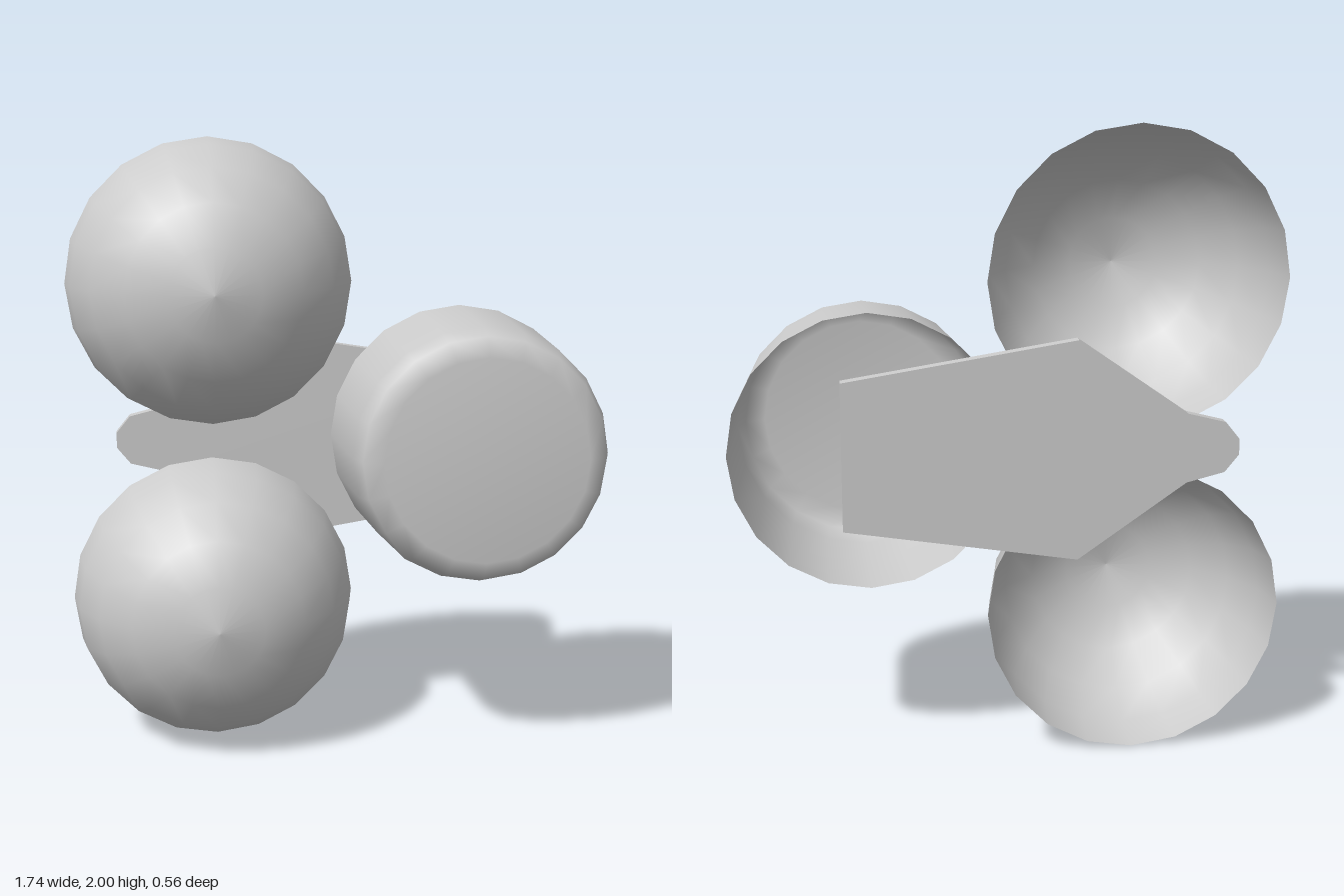
import * as THREE from 'three';

const SIDES = 20;
const BACK = -0.235; // plane of the open rims

export function createModel() {
  const group = new THREE.Group();
  const shellMaterial = new THREE.MeshStandardMaterial({ color: 0xcccccc, side: THREE.DoubleSide });
  const plateMaterial = new THREE.MeshStandardMaterial({ color: 0xcccccc, flatShading: true });

  // Open shell turned about z: profile is [radius, depth in front of the rim]
  function addShell(name, profile, x, y) {
    const points = profile.map(([r, d]) => new THREE.Vector2(r, d));
    const geometry = new THREE.LatheGeometry(points, SIDES).rotateX(Math.PI / 2);
    const mesh = new THREE.Mesh(geometry, shellMaterial);
    mesh.name = name;
    mesh.position.set(x, y, BACK);
    group.add(mesh);
  }

  // Two hollow half-sphere domes
  const dome = [];
  for (let i = 0; i <= 5; i++) {
    const a = (i / 5) * Math.PI / 2;
    dome.push([0.47 * Math.cos(a), 0.47 * Math.sin(a)]);
  }
  dome[5][0] = 0;
  addShell('upperDome', dome, -0.4, 1.53);
  addShell('lowerDome', dome, -0.4, 0.473);

  // Hollow cup, slightly tapered, with a rounded front edge
  addShell('cup', [[0.433, 0], [0.41, 0.405], [0.387, 0.478], [0.325, 0.515], [0, 0.515]], 0.434, 1.012);

  // Back plate: upper half of the outline, mirrored for the lower half
  const half = [[0.52, 0.232], [-0.207, 0.348], [-0.55, 0.11], [-0.67, 0.08], [-0.715, 0.025]];
  const outline = [...half, ...half.map(([x, y]) => [x, -y]).reverse()];
  const shape = new THREE.Shape(outline.map(([x, y]) => new THREE.Vector2(x, y)));
  const plate = new THREE.Mesh(
    new THREE.ExtrudeGeometry(shape, { depth: 0.045, bevelEnabled: false }), plateMaterial);
  plate.name = 'backPlate';
  plate.position.set(0, 1.008, BACK - 0.045);
  group.add(plate);

  return group;
}
